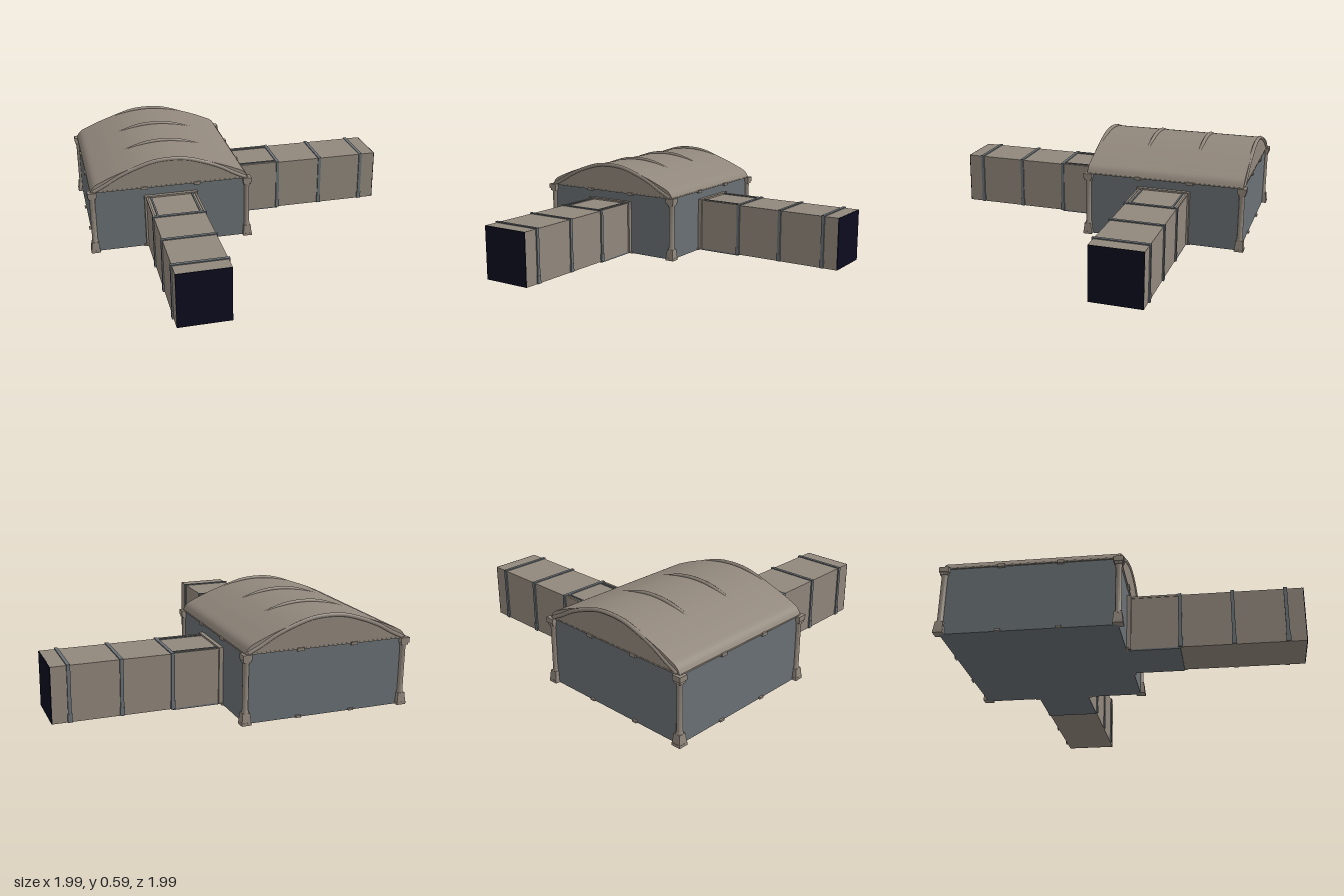
import * as THREE from 'three';
import { toCreasedNormals } from 'three/addons/utils/BufferGeometryUtils.js';

const paint = (name, color) => {
  const m = new THREE.MeshStandardMaterial({ color });
  m.name = name;
  return m;
};

export function createModel() {
  const stone = paint('warm stone', 0x91877c);
  const slate = paint('slate grey', 0x697074);
  const dark = paint('dark opening', 0x0c0c20);
  const C = -0.485; // hall centre in x and z
  const H = 0.485;  // hall half width
  const model = new THREE.Group();
  model.name = 'vaultedHall';

  const add = (parent, name, geo, mat, x = 0, y = 0, z = 0) => {
    const mesh = new THREE.Mesh(geo, mat);
    mesh.name = name;
    mesh.position.set(x, y, z);
    parent.add(mesh);
    return mesh;
  };
  const box = (parent, name, mat, w, h, d, x, y, z) =>
    add(parent, name, new THREE.BoxGeometry(w, h, d), mat, x, y, z);

  // Hall, centred in its own group
  const hall = new THREE.Group();
  hall.name = 'hall';
  hall.position.set(C, 0, C);
  model.add(hall);
  box(hall, 'walls', slate, 2 * H, 0.4, 2 * H, 0, 0.2, 0);

  // Vaulted roof, extruded along z
  const half = [[0.494, 0.4], [0.465, 0.442], [0.4, 0.474], [0.315, 0.508], [0.2, 0.545], [0.1, 0.564]];
  const mirror = (p) => [...p, ...p.slice().reverse().map(([x, y]) => [-x, y])];
  const top = [...half, [0, 0.571], ...half.slice().reverse().map(([x, y]) => [-x, y])];
  const vault = new THREE.Shape();
  vault.moveTo(top[0][0], top[0][1]);
  vault.splineThru(top.slice(1).map(([x, y]) => new THREE.Vector2(x, y)));
  vault.closePath();
  const roof = new THREE.ExtrudeGeometry(vault, { depth: 0.985, bevelEnabled: false, curveSegments: 36 });
  roof.translate(0, 0, -0.4925);
  add(hall, 'roof', toCreasedNormals(roof, 0.6), stone);

  // Arched ribs, breaking through the roof near its crown
  const ribLine = mirror([[0.475, 0.405], [0.4, 0.442], [0.32, 0.488], [0.2, 0.537], [0.08, 0.569]]);
  const ribCurve = new THREE.CatmullRomCurve3(ribLine.map(([x, y]) => new THREE.Vector3(x, y, 0)));
  const rib = new THREE.TubeGeometry(ribCurve, 40, 0.012, 8);
  for (const z of [-0.489, -0.165, 0.165, 0.489]) add(hall, 'roofRib', rib, stone, 0, 0, z);

  // Corner columns
  const profile = [[0, 0.06], [0.024, 0.06], [0.017, 0.085], [0.017, 0.34], [0.024, 0.375], [0, 0.375]];
  const shaft = toCreasedNormals(
    new THREE.LatheGeometry(profile.map(([x, y]) => new THREE.Vector2(x, y)), 12), 0.5);
  const foot = new THREE.CylinderGeometry(0.03, 0.038, 0.055, 4).rotateY(Math.PI / 4).toNonIndexed();
  foot.computeVertexNormals();
  for (const sx of [-1, 1]) for (const sz of [-1, 1]) {
    const column = new THREE.Group();
    column.name = 'cornerColumn';
    column.position.set(sx * H, 0, sz * H);
    hall.add(column);
    add(column, 'columnShaft', shaft, stone);
    box(column, 'columnPlinth', stone, 0.056, 0.016, 0.056, 0, 0.008, 0);
    add(column, 'columnFoot', foot, stone, 0, 0.042, 0);
    box(column, 'columnNeck', stone, 0.044, 0.014, 0.044, 0, 0.365, 0);
    box(column, 'columnCapital', stone, 0.054, 0.03, 0.054, 0, 0.387, 0);
  }

  // Eaves strips, brackets and base blocks on all four walls
  for (let i = 0; i < 4; i++) {
    const side = new THREE.Group();
    side.name = 'wallTrim';
    side.rotation.y = i * Math.PI / 2;
    hall.add(side);
    box(side, 'eavesStrip', stone, 2 * H, 0.008, 0.014, 0, 0.401, H + 0.002);
    for (const x of [-0.165, 0.165]) {
      box(side, 'eavesBracket', stone, 0.04, 0.018, 0.024, x, 0.398, H + 0.004);
      box(side, 'baseBlock', stone, 0.03, 0.012, 0.016, x, 0.006, H + 0.003);
    }
  }

  // One corridor running along +z
  const corridor = (name) => {
    const g = new THREE.Group();
    g.name = name;
    box(g, 'corridorBody', stone, 0.31, 0.327, 0.99, 0, 0.1715, 0.495);
    box(g, 'entryFloor', slate, 0.31, 0.01, 0.3, 0, 0.005, 0.15);
    box(g, 'darkOpening', dark, 0.309, 0.326, 0.006, 0, 0.1715, 0.992);

    // Rails edging the entry section
    for (const s of [-1, 1]) {
      box(g, 'entryTopRail', slate, 0.01, 0.008, 0.28, s * 0.128, 0.337, 0.16);
      box(g, 'entryEdgeRail', stone, 0.012, 0.012, 0.28, s * 0.152, 0.333, 0.16);
      box(g, 'doorJamb', stone, 0.018, 0.33, 0.024, s * 0.158, 0.17, 0.012);
    }
    box(g, 'doorLintel', stone, 0.334, 0.014, 0.024, 0, 0.338, 0.012);

    // Frames around the sides and top
    for (const z of [0.3, 0.597, 0.893]) {
      box(g, 'frameTop', slate, 0.326, 0.012, 0.02, 0, 0.335, z);
      for (const s of [-1, 1]) {
        box(g, 'framePost', slate, 0.014, 0.33, 0.02, s * 0.156, 0.174, z);
        box(g, 'frameFoot', slate, 0.02, 0.05, 0.026, s * 0.155, 0.034, z);
      }
    }
    model.add(g);
    return g;
  };
  corridor('frontCorridor').position.set(C, 0, 0);
  const leftCorridor = corridor('leftCorridor');
  leftCorridor.rotation.y = Math.PI / 2;
  leftCorridor.position.set(0, 0, C);

  return model;
}
